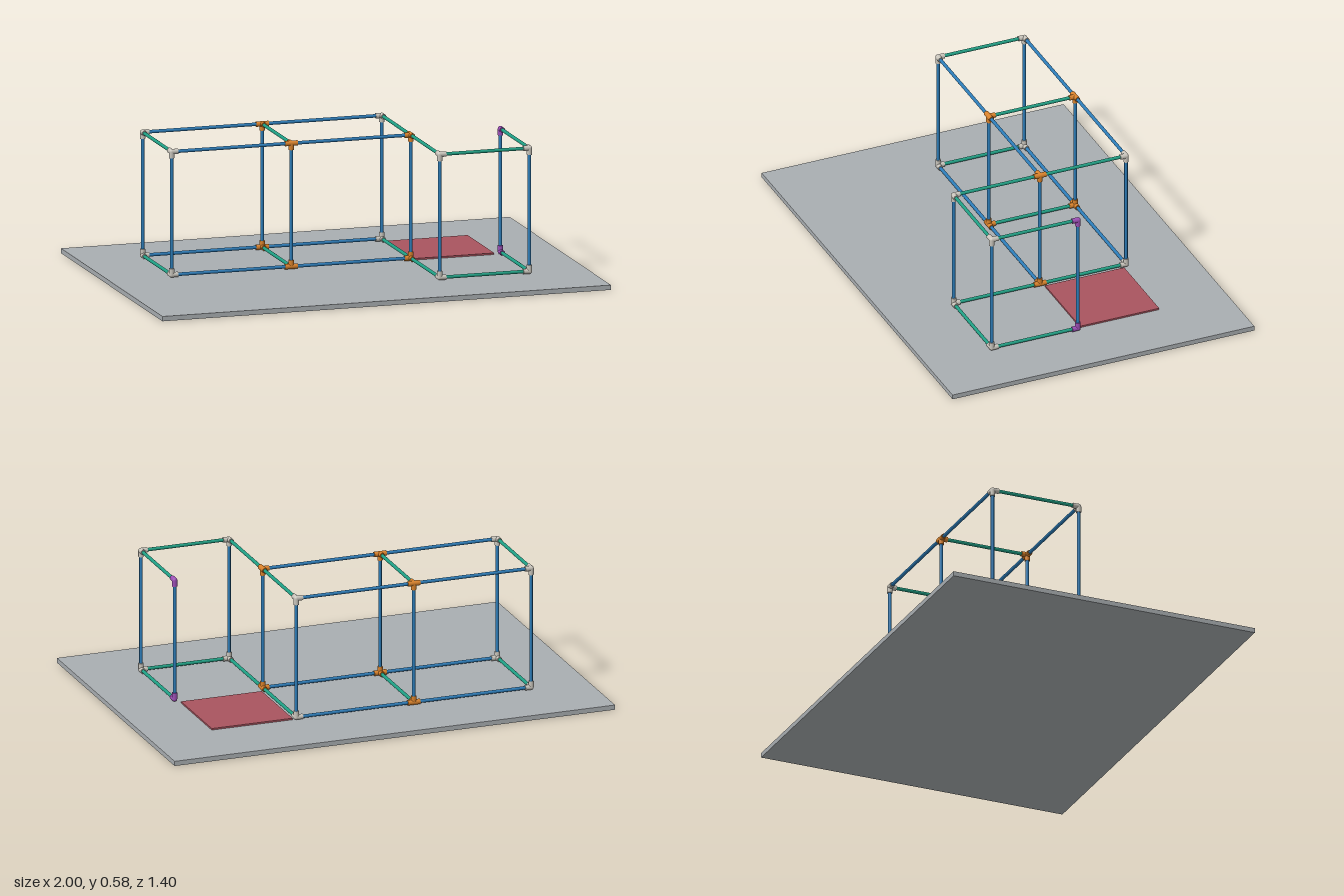
import * as THREE from 'three';

const mat = (name, color) => Object.assign(new THREE.MeshStandardMaterial({ color }), { name });
const PIPE_R = 0.0075, JOINT_R = 0.0115, ARM = 0.028;
const LOW = 0.036, HIGH = 0.571, FLOOR = 0.021;

export function createModel() {
  const mats = {
    floor: mat('floor grey', 0xa9aeb1),
    zone: mat('zone red', 0xa9545f),
    longPipe: mat('pipe blue', 0x2c7bb6),
    shortPipe: mat('pipe green', 0x1f9e83),
    corner: mat('corner joint ivory', 0xc9c5bc),
    tee: mat('tee joint orange', 0xd9822b),
    elbow: mat('elbow joint purple', 0x9b4fb5),
  };
  const model = new THREE.Group();
  model.name = 'pipeFrame';

  const add = (parent, name, geometry, material) => {
    const mesh = new THREE.Mesh(geometry, material);
    mesh.name = name;
    parent.add(mesh);
    return mesh;
  };

  // cylinder stretched between two points
  const rod = (parent, name, a, b, radius, material) => {
    const dir = b.clone().sub(a);
    const mesh = add(parent, name, new THREE.CylinderGeometry(radius, radius, dir.length(), 16), material);
    mesh.position.copy(a).add(b).multiplyScalar(0.5);
    mesh.quaternion.setFromUnitVectors(new THREE.Vector3(0, 1, 0), dir.normalize());
  };

  // floor slab and marked zone
  add(model, 'floorSlab', new THREE.BoxGeometry(2, FLOOR, 1.4), mats.floor).position.y = FLOOR / 2;
  add(model, 'markedZone', new THREE.BoxGeometry(0.367, 0.007, 0.367), mats.zone)
    .position.set(0.528, FLOOR + 0.0035, -0.203);

  // posts in plan: x, z, joint type
  const posts = [
    [-0.733, -0.4, 'corner'], [-0.2, -0.4, 'tee'], [0.333, -0.4, 'corner'],
    [-0.733, 0, 'corner'], [-0.2, 0, 'tee'], [0.333, 0, 'tee'],
    [0.333, 0.4, 'corner'], [0.733, 0.4, 'corner'], [0.733, 0, 'elbow'],
  ];
  // rails joining pairs of posts
  const rails = [[0, 1], [1, 2], [3, 4], [4, 5], [0, 3], [1, 4], [2, 5], [5, 6], [6, 7], [7, 8]];
  const at = (i, y) => new THREE.Vector3(posts[i][0], y, posts[i][1]);

  // rails at floor and top level
  for (const y of [LOW, HIGH]) {
    for (const [i, j] of rails) {
      const a = at(i, y), b = at(j, y);
      const kind = a.distanceTo(b) > 0.45 ? 'longPipe' : 'shortPipe';
      rod(model, kind, a, b, PIPE_R, mats[kind]);
    }
  }

  posts.forEach(([, , type], i) => {
    rod(model, 'uprightPipe', at(i, LOW), at(i, HIGH), PIPE_R, mats.longPipe);

    // joints: a rounded core with a sleeve on every pipe that meets there
    for (const [y, other] of [[LOW, HIGH], [HIGH, LOW]]) {
      const joint = new THREE.Group();
      joint.name = type + 'Joint';
      model.add(joint);
      const centre = at(i, y);
      add(joint, 'jointCore', new THREE.SphereGeometry(JOINT_R, 16, 12), mats[type]).position.copy(centre);
      const ends = rails.filter((r) => r.includes(i)).map(([p, q]) => at(p === i ? q : p, y));
      for (const end of [...ends, at(i, other)]) {
        const tip = end.sub(centre).setLength(ARM).add(centre);
        rod(joint, 'jointSleeve', centre, tip, JOINT_R, mats[type]);
      }
    }
  });
  return model;
}
